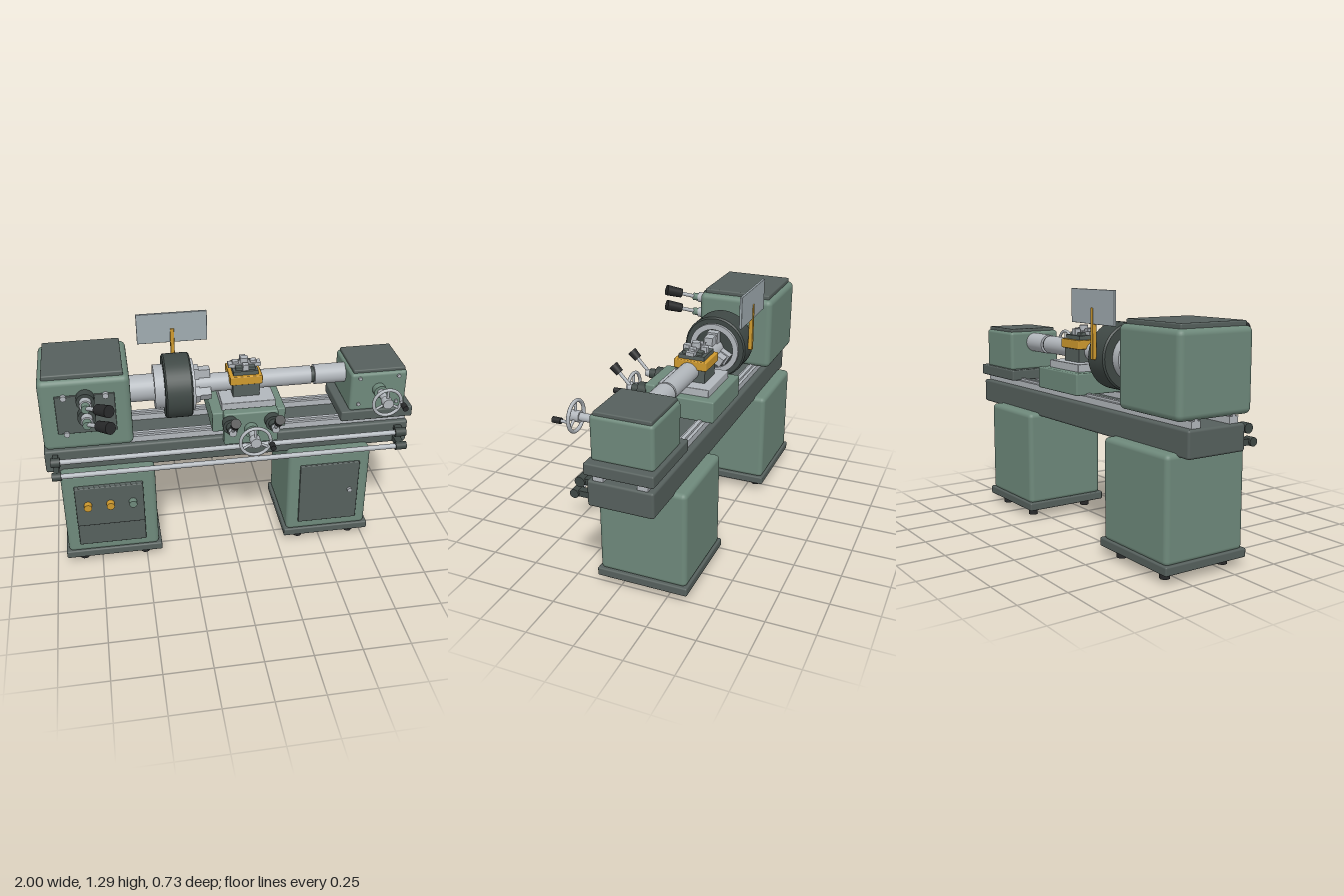
import * as THREE from 'three';
import { RoundedBoxGeometry } from 'three/addons/geometries/RoundedBoxGeometry.js';

const paint = (name, color) => {
  const m = new THREE.MeshStandardMaterial({ color });
  m.name = name;
  return m;
};

export function createModel() {
  const green = paint('machine green', 0x6e897b);
  const slate = paint('slate grey', 0x56605d);
  const iron = paint('dark iron', 0x3f4845);
  const black = paint('black rubber', 0x272829);
  const steel = paint('bright steel', 0xb2b7bc);
  const shield = paint('shield grey', 0xa0abb0);
  const yellow = paint('safety yellow', 0xcf9a2e);

  const root = new THREE.Group();
  root.name = 'metalLathe';
  const V = (p) => new THREE.Vector3(...p);

  const add = (name, geo, mat, parent = root) => {
    const m = new THREE.Mesh(geo, mat);
    m.name = name;
    parent.add(m);
    return m;
  };
  const group = (name, x, y, z) => {
    const g = new THREE.Group();
    g.name = name;
    g.position.set(x, y, z);
    root.add(g);
    return g;
  };
  // Box from its extents, rounded when r > 0
  const box = (name, mat, [x0, x1], [y0, y1], [z0, z1], r = 0, parent = root) => {
    const s = [x1 - x0, y1 - y0, z1 - z0];
    const geo = r ? new RoundedBoxGeometry(...s, 3, r) : new THREE.BoxGeometry(...s);
    const m = add(name, geo, mat, parent);
    m.position.set((x0 + x1) / 2, (y0 + y1) / 2, (z0 + z1) / 2);
    return m;
  };
  // Cylinder from point a to point b
  const rod = (name, mat, a, b, r, parent = root, rEnd = r) => {
    const p = V(a), d = V(b).sub(p);
    const m = add(name, new THREE.CylinderGeometry(rEnd, r, d.length(), 32), mat, parent);
    m.position.copy(p).addScaledVector(d, 0.5);
    m.quaternion.setFromUnitVectors(new THREE.Vector3(0, 1, 0), d.normalize());
    return m;
  };

  // Pedestals with plinths and feet
  for (const [side, x0, x1] of [['right', -0.93, -0.43], ['left', 0.3, 0.76]]) {
    box(side + 'Pedestal', green, [x0, x1], [0.08, 0.595], [-0.35, 0.11], 0.025);
    box(side + 'Plinth', slate, [x0 - 0.014, x1 + 0.016], [0.045, 0.09], [-0.36, 0.12], 0.008);
    for (const x of [x0 + 0.08, x1 - 0.077])
      for (const z of [-0.293, 0.053]) rod('foot', black, [x, 0, z], [x, 0.05, z], 0.025);
  }

  // Control panel on one pedestal, door on the other
  box('lowerPanel', slate, [-0.865, -0.5], [0.137, 0.52], [0.1, 0.124], 0.005);
  box('controlPanel', slate, [-0.865, -0.5], [0.275, 0.52], [0.12, 0.138], 0.005);
  [[-0.8, yellow], [-0.68, yellow], [-0.56, green]].forEach(([x, mat]) =>
    rod('controlButton', mat, [x, 0.413, 0.135], [x, 0.413, 0.17], 0.021));
  box('cabinetDoor', slate, [0.365, 0.7], [0.14, 0.52], [0.1, 0.124], 0.005);
  rod('doorKnob', steel, [0.65, 0.34, 0.12], [0.65, 0.34, 0.138], 0.013);

  // Bed and guide rails
  box('bed', slate, [-1, 0.98], [0.578, 0.71], [-0.287, 0.043], 0.012);
  for (const z of [-0.23, -0.01]) {
    box('guideRail', steel, [-0.98, 0.97], [0.7, 0.743], [z - 0.026, z + 0.026]);
    box('railRidge', steel, [-0.98, 0.97], [0.74, 0.755], [z - 0.01, z + 0.01]);
  }

  // Feed rods along the front, with end bearings
  for (const [y, z, r] of [[0.674, 0.095, 0.025], [0.606, 0.127, 0.022]]) {
    rod('feedRod', steel, [-0.95, y, z], [0.94, y, z], 0.014);
    for (const [a, b] of [[-0.968, -0.92], [0.89, 0.95]]) {
      rod('rodBearing', iron, [a, y, z], [b, y, z], r);
      box('bearingBracket', iron, [a + 0.01, b - 0.01], [y - 0.015, y + 0.015], [0.03, z]);
    }
  }

  // Headstock
  box('headstock', green, [-0.99, -0.53], [0.745, 1.147], [-0.335, 0.095], 0.03);
  box('headstockCap', slate, [-0.965, -0.56], [1.13, 1.17], [-0.31, 0.072], 0.008);
  box('gearPanel', slate, [-0.91, -0.61], [0.848, 1.065], [0.09, 0.104], 0.004);
  for (const x of [-0.865, -0.655])
    for (const y of [0.848, 1.057]) rod('panelBolt', steel, [x, y, 0.09], [x, y, 0.115], 0.015);

  // Gear levers
  for (const y of [1.05, 0.957]) {
    const g = group('gearLever', -0.757, y, 0);
    rod('leverBase', iron, [0, 0, 0.1], [0, 0, 0.15], 0.046, g);
    rod('leverCollar', steel, [0, 0, 0.15], [0, 0, 0.187], 0.03, g);
    rod('leverHub', green, [0, 0, 0.187], [0, 0, 0.222], 0.022, g);
    rod('leverArm', steel, [0, 0, 0.205], [0.075, 0.036, 0.3], 0.011, g);
    rod('leverGrip', black, [0.058, 0.03, 0.28], [0.113, 0.056, 0.352], 0.027, g, 0.031);
  }

  // Spindle, chuck and jaws
  const cy = 0.957, cz = -0.122;
  const turned = (name, mat, x0, x1, r) => rod(name, mat, [x0, cy, cz], [x1, cy, cz], r);
  turned('spindle', steel, -0.55, -0.39, 0.072);
  turned('spindleFlange', steel, -0.4, -0.345, 0.118);
  const chuckProfile = [[0, -0.072], [0.164, -0.072], [0.172, -0.064], [0.172, 0.064], [0.164, 0.072], [0, 0.072]];
  const chuckPoints = chuckProfile.map(([r, h]) => new THREE.Vector2(r, h));
  const sharpPoints = chuckPoints.flatMap((p) => [p, p.clone()]);
  const chuck = add('chuck', new THREE.LatheGeometry(sharpPoints, 48), iron);
  chuck.rotation.z = -Math.PI / 2;
  chuck.position.set(-0.277, cy, cz);
  const ringShape = new THREE.Shape().absarc(0, 0, 0.138, 0, Math.PI * 2);
  ringShape.holes.push(new THREE.Path().absarc(0, 0, 0.108, 0, Math.PI * 2));
  const ring = add('chuckRing', new THREE.ExtrudeGeometry(ringShape, { depth: 0.018, bevelEnabled: false, curveSegments: 32 }), steel);
  ring.rotation.y = Math.PI / 2;
  ring.position.set(-0.207, cy, cz);
  const jaws = group('chuckJaws', 0, cy, cz);
  for (let i = 0; i < 3; i++) {
    const jaw = new THREE.Group();
    jaw.name = 'jaw';
    jaw.rotation.x = (i * Math.PI * 2) / 3;
    box('jawBase', steel, [-0.21, -0.16], [0.03, 0.1], [-0.03, 0.03], 0, jaw);
    box('jawTip', steel, [-0.165, -0.1], [0.035, 0.09], [-0.024, 0.024], 0, jaw);
    jaws.add(jaw);
  }

  // Workpiece, centre and quill
  turned('workpiece', steel, -0.21, 0.452, 0.05);
  turned('deadCentre', iron, 0.45, 0.475, 0.042);
  turned('quill', steel, 0.47, 0.66, 0.054);

  // Tailstock
  box('tailstockBase', slate, [0.595, 0.995], [0.743, 0.803], [-0.295, 0.05], 0.008);
  box('tailstock', green, [0.64, 0.95], [0.795, 1.02], [-0.277, 0.036], 0.018);
  box('tailstockCap', slate, [0.655, 0.94], [1.01, 1.037], [-0.265, 0.02], 0.007);
  for (const x of [0.687, 0.9])
    for (const y of [0.84, 0.995]) rod('tailstockBolt', steel, [x, y, 0.03], [x, y, 0.045], 0.01);

  // Handwheel with spokes and crank handle; z is the wheel plane
  const handwheel = (name, x, y, z, z0, r) => {
    const g = group(name, x, y, z);
    add('rim', new THREE.TorusGeometry(r - 0.009, 0.009, 12, 48), steel, g);
    rod('boss', green, [0, 0, z0 - z], [0, 0, z0 - z + 0.045], 0.036, g);
    rod('shaft', steel, [0, 0, z0 - z], [0, 0, 0.02], 0.02, g);
    rod('hub', steel, [0, 0, -0.025], [0, 0, 0.02], 0.028, g);
    for (let i = 0; i < 3; i++) {
      const a = (i * Math.PI * 2) / 3 + Math.PI / 2;
      rod('spoke', steel, [0, 0, 0], [Math.cos(a) * (r - 0.01), Math.sin(a) * (r - 0.01), 0], 0.007, g);
    }
    rod('crankPin', steel, [r - 0.009, 0, 0], [r - 0.009, 0, 0.045], 0.008, g);
    rod('crankHandle', black, [r - 0.009, 0, 0.035], [r - 0.009, 0, 0.078], 0.015, g);
  };
  handwheel('tailstockHandwheel', 0.795, 0.923, 0.185, 0.03, 0.083);
  handwheel('carriageHandwheel', 0.088, 0.783, 0.23, 0.09, 0.088);

  // Carriage: saddle, apron and cross slide
  box('saddle', green, [-0.11, 0.285], [0.745, 0.86], [-0.3, 0.045], 0.008);
  box('apron', green, [-0.055, 0.235], [0.69, 0.88], [0.04, 0.098], 0.01);
  box('crossSlide', steel, [-0.055, 0.235], [0.855, 0.9], [-0.255, 0.02], 0.004);

  // Tool post
  box('compoundRest', slate, [0.015, 0.16], [0.9, 0.972], [-0.205, -0.045]);
  box('toolHolder', yellow, [0, 0.175], [0.97, 1.018], [-0.218, -0.04], 0.005);
  box('toolPostBlock', slate, [0.02, 0.155], [1.015, 1.04], [-0.198, -0.06]);
  box('clampPlate', slate, [0.035, 0.14], [1.04, 1.055], [-0.18, -0.075]);
  rod('clampBolt', steel, [0.088, 1.04, -0.128], [0.088, 1.092, -0.128], 0.022);
  for (const [dx, dz] of [[-1, 0], [1, 0], [0, -1], [0, 1]]) {
    const x = 0.088 + dx * 0.048, z = -0.128 + dz * 0.048;
    box('clampScrew', steel, [x - 0.017, x + 0.017], [1.04, 1.075], [z - 0.017, z + 0.017], 0.004);
  }
  box('cuttingTool', steel, [0, 0.175], [1.042, 1.062], [-0.15, -0.106]);

  // Apron levers
  for (const x of [-0.025, 0.2]) {
    const g = group('apronLever', x, 0.828, 0);
    rod('leverBase', iron, [0, 0, 0.09], [0, 0, 0.14], 0.042, g);
    rod('leverCollar', iron, [0, 0, 0.14], [0, 0, 0.18], 0.027, g);
    rod('leverHub', steel, [0, 0, 0.18], [0, 0, 0.205], 0.02, g);
    rod('leverArm', steel, [0, 0.005, 0.19], [0, 0.09, 0.27], 0.009, g);
    rod('leverGrip', black, [0, 0.075, 0.255], [0, 0.112, 0.292], 0.022, g, 0.026);
  }

  // Splash shield on its post
  box('splashShield', shield, [-0.465, -0.085], [1.125, 1.295], [-0.311, -0.297], 0.003);
  box('shieldPost', yellow, [-0.286, -0.264], [0.95, 1.205], [-0.315, -0.291], 0.004);

  return root;
}
